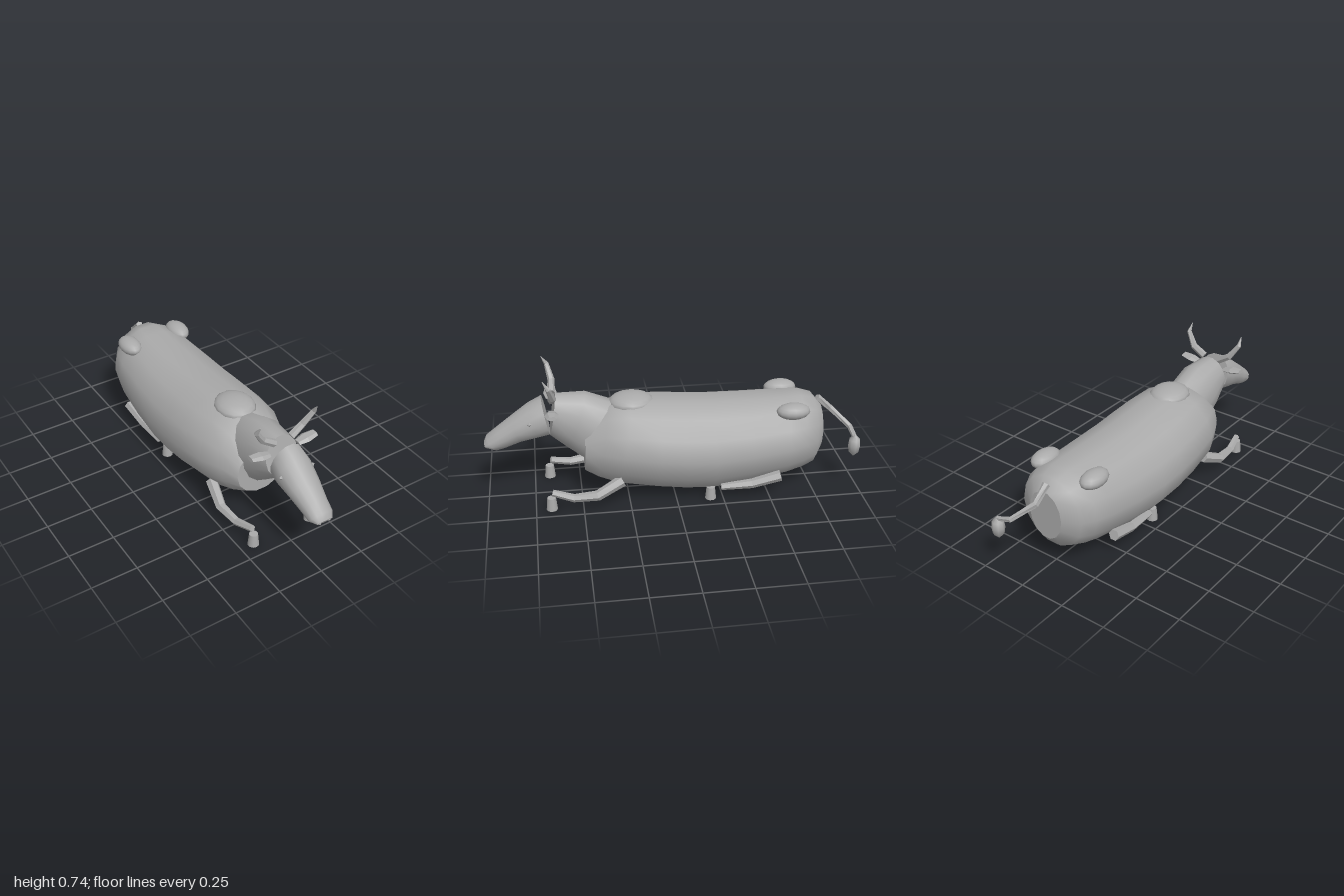
import * as THREE from 'three';

const grey = new THREE.MeshStandardMaterial({ color: 0xaaaaaa });
grey.name = 'plain grey';

// Skin over rings listed front to back, each with its own flat end cap
function loft(rings, flat = false) {
  const n = rings[0].length, index = [];
  const pts = rings.flat();
  for (let i = 0; i < rings.length - 1; i++) {
    for (let j = 0; j < n; j++) {
      const k = (j + 1) % n;
      const a = i * n + j, b = i * n + k, c = a + n, d = b + n;
      index.push(a, c, b, b, c, d);
    }
  }
  // caps use copies of the end rings so their edge stays sharp
  const first = pts.length;
  pts.push(...rings[0]);
  const last = pts.length;
  pts.push(...rings[rings.length - 1]);
  for (let j = 1; j < n - 1; j++) {
    index.push(first, first + j, first + j + 1);
    index.push(last, last + j + 1, last + j);
  }
  let geo = new THREE.BufferGeometry().setFromPoints(pts);
  geo.setIndex(index);
  if (flat) geo = geo.toNonIndexed();
  geo.computeVertexNormals();
  return geo;
}

// Upright oval ring: bottom (z, y), top (z, y), half width
function oval([bz, by, tz, ty, w], n = 14) {
  return Array.from({ length: n }, (_, j) => {
    const a = (j / n) * Math.PI * 2, t = (Math.sin(a) + 1) / 2;
    return new THREE.Vector3(
      w * Math.cos(a),
      THREE.MathUtils.lerp(by, ty, t),
      THREE.MathUtils.lerp(bz, tz, t));
  });
}

// Faceted limb along points [x, y, z, radius]; squash thins it across ref
function limb(points, ref, squash = 1, sides = 6) {
  const p = points.map(q => new THREE.Vector3(q[0], q[1], q[2]));
  const rings = p.map((c, i) => {
    const t = p[Math.min(i + 1, p.length - 1)].clone()
      .sub(p[Math.max(i - 1, 0)]).normalize();
    const u = ref.clone().addScaledVector(t, -ref.dot(t)).normalize();
    const v = u.clone().cross(t);
    return Array.from({ length: sides }, (_, j) => {
      const a = (j / sides) * Math.PI * 2, r = points[i][3];
      return c.clone().addScaledVector(u, r * Math.cos(a))
        .addScaledVector(v, r * squash * Math.sin(a));
    });
  });
  return loft(rings, true);
}

export function createModel() {
  const model = new THREE.Group();
  model.name = 'lyingOx';
  const X = new THREE.Vector3(1, 0, 0);
  const Y = new THREE.Vector3(0, 1, 0);
  const Z = new THREE.Vector3(0, 0, 1);

  const add = (name, geo, x = 0, y = 0, z = 0) => {
    const mesh = new THREE.Mesh(geo, grey);
    mesh.name = name;
    mesh.position.set(x, y, z);
    model.add(mesh);
    return mesh;
  };
  const ball = (name, x, y, z, rx, ry, rz) =>
    add(name, new THREE.SphereGeometry(1, 14, 10), x, y, z).scale.set(rx, ry, rz);

  // Barrel body
  add('body', loft([
    [0.48, 0.145, 0.475, 0.43, 0.15],
    [0.42, 0.105, 0.35, 0.525, 0.205],
    [0.32, 0.07, 0.23, 0.55, 0.25],
    [0.1, 0.035, 0.08, 0.54, 0.275],
    [-0.05, 0.015, -0.05, 0.53, 0.28],
    [-0.2, 0.006, -0.2, 0.52, 0.277],
    [-0.4, 0.03, -0.4, 0.517, 0.267],
    [-0.6, 0.062, -0.6, 0.52, 0.247],
    [-0.69, 0.083, -0.69, 0.52, 0.225],
    [-0.76, 0.105, -0.76, 0.5, 0.185],
    [-0.81, 0.17, -0.81, 0.44, 0.1],
  ].map(r => oval(r))));

  // Neck
  add('neck', loft([
    [0.655, 0.36, 0.615, 0.588, 0.095],
    [0.57, 0.285, 0.46, 0.588, 0.12],
    [0.48, 0.21, 0.3, 0.525, 0.126],
  ].map(r => oval(r))));

  // Head tapering to the muzzle
  add('head', loft([
    [0.985, 0.312, 1.0, 0.338, 0.045],
    [0.93, 0.292, 0.985, 0.372, 0.066],
    [0.88, 0.305, 0.93, 0.415, 0.071],
    [0.8, 0.335, 0.85, 0.475, 0.086],
    [0.71, 0.352, 0.76, 0.542, 0.098],
    [0.65, 0.362, 0.69, 0.58, 0.092],
  ].map(r => oval(r))));

  // Shoulder hump
  ball('hump', 0, 0.52, 0.22, 0.105, 0.05, 0.12);

  for (const s of [1, -1]) {
    const side = s > 0 ? 'left' : 'right';
    ball(side + 'HipBump', s * 0.155, 0.478, -0.62, 0.058, 0.043, 0.09);

    // Curved horns
    add(side + 'Horn', limb([
      [s * 0.05, 0.575, 0.635, 0.021],
      [s * 0.118, 0.618, 0.63, 0.019],
      [s * 0.167, 0.69, 0.65, 0.013],
      [s * 0.163, 0.735, 0.677, 0.001],
    ], Z));

    // Flattened ears
    add(side + 'Ear', limb([
      [s * 0.085, 0.524, 0.64, 0.024],
      [s * 0.135, 0.533, 0.64, 0.036],
      [s * 0.192, 0.541, 0.64, 0.026],
    ], Z, 0.42));

    // Eyes and nostrils
    add(side + 'Eye', new THREE.OctahedronGeometry(0.012), s * 0.093, 0.466, 0.757);
    add(side + 'Nostril', new THREE.OctahedronGeometry(0.012), s * 0.028, 0.322, 0.986);

    // Folded legs
    add(side + 'FrontLeg', limb([
      [s * 0.185, 0.15, 0.29, 0.032],
      [s * 0.213, 0.085, 0.425, 0.028],
      [s * 0.2, 0.072, 0.55, 0.022],
      [s * 0.178, 0.1, 0.66, 0.018],
    ], X));
    add(side + 'BackLeg', limb([
      [s * 0.2, 0.075, -0.235, 0.018],
      [s * 0.205, 0.085, -0.4, 0.026],
      [s * 0.215, 0.128, -0.555, 0.03],
    ], X));

    // Hooves
    for (const [name, x, z] of [['FrontHoof', 0.175, 0.667], ['BackHoof', 0.18, -0.182]]) {
      add(side + name, new THREE.CylinderGeometry(0.023, 0.03, 0.07, 10), s * x, 0.035, z);
    }
  }

  // Tail with tuft
  add('tail', limb([
    [0, 0.475, -0.79, 0.02],
    [0, 0.405, -0.87, 0.018],
    [0.085, 0.33, -0.96, 0.015],
    [0.165, 0.305, -0.965, 0.013],
  ], Y));
  const tuft = [[0, 0.19], [0.028, 0.22], [0.034, 0.255], [0.03, 0.29], [0, 0.322]]
    .map(p => new THREE.Vector2(...p));
  add('tailTuft', new THREE.LatheGeometry(tuft, 8), 0.167, 0, -0.966);

  return model;
}
